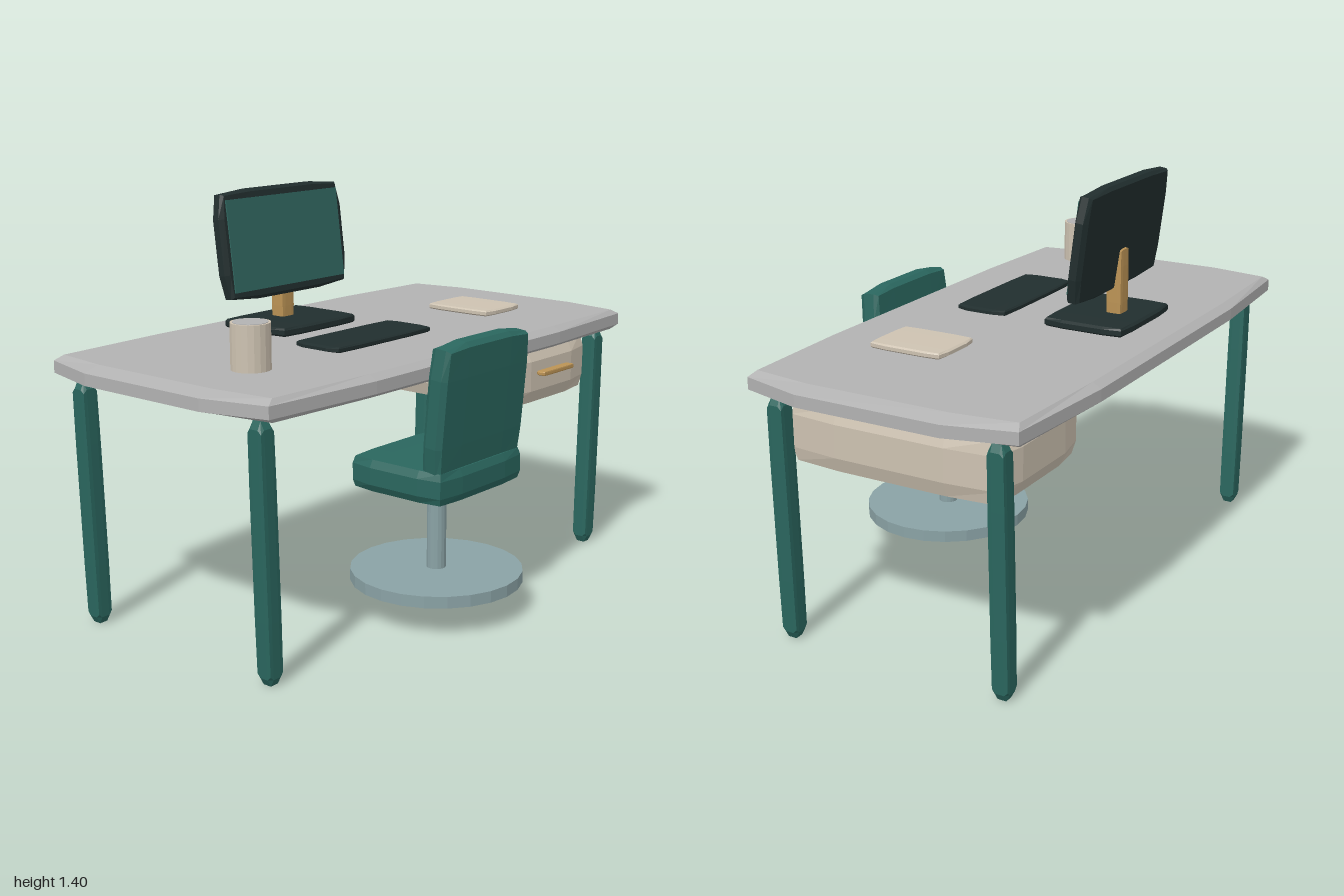
import * as THREE from 'three';

const mat = (name, color) => {
  const m = new THREE.MeshStandardMaterial({ color });
  m.name = name;
  return m;
};

// Faceted normals
function facet(geometry) {
  const g = geometry.toNonIndexed();
  g.computeVertexNormals();
  return g;
}

// Box with slightly swollen sides: edges and corners are pulled towards the centre
function softBoxGeometry(w, h, d) {
  const g = new THREE.BoxGeometry(2, 2, 2, 3, 3, 3);
  const p = g.attributes.position;
  for (let i = 0; i < p.count; i++) {
    const v = [p.getX(i), p.getY(i), p.getZ(i)];
    const outer = v.filter((c) => Math.abs(c) > 0.9).length;
    const pull = [1, 1, 0.94, 0.91][outer];
    const [x, y, z] = v.map((c) => Math.sign(c) * (Math.abs(c) > 0.9 ? pull : 0.5));
    p.setXYZ(i, (x * w) / 2, (y * h) / 2, (z * d) / 2);
  }
  return facet(g);
}

export function createModel() {
  const model = new THREE.Group();
  const grey = mat('desk grey', 0xb2b2b2);
  const teal = mat('teal', 0x2a665e);
  const screenTeal = mat('screen teal', 0x30665f);
  const dark = mat('charcoal', 0x212e2e);
  const cream = mat('cream', 0xcdc2b1);
  const gold = mat('gold', 0xbb9355);
  const steel = mat('steel blue', 0x8aa2a5);

  const add = (name, geometry, material, pos, parent = model) => {
    const mesh = new THREE.Mesh(geometry, material);
    mesh.name = name;
    mesh.position.set(...pos);
    parent.add(mesh);
    return mesh;
  };
  const soft = (name, size, material, pos, parent) =>
    add(name, softBoxGeometry(...size), material, pos, parent);
  const disc = (name, r, h, sides, material, pos) =>
    add(name, facet(new THREE.CylinderGeometry(r, r, h, sides)), material, pos);

  // Desk: top and four legs leaning slightly outwards at the top
  soft('deskTop', [2, 0.08, 1.015], grey, [0, 0.87, -0.0875]);
  for (const side of [-1, 1]) {
    for (const [name, z] of [['frontLeg', 0.31], ['backLeg', -0.475]]) {
      const leg = soft(name, [0.06, 0.83, 0.06], teal, [side * 0.881, 0.415, z]);
      leg.rotation.z = -side * 0.03;
    }
  }

  // Drawer box with handle
  soft('drawer', [0.52, 0.217, 0.78], cream, [0.62, 0.712, -0.08]);
  soft('drawerHandle', [0.2, 0.016, 0.035], gold, [0.62, 0.722, 0.328]);

  // Monitor, tilted back on its stand
  const monitor = new THREE.Group();
  monitor.name = 'monitor';
  monitor.position.set(-0.1, 1.213, -0.347);
  monitor.rotation.x = -0.125;
  model.add(monitor);
  soft('monitorCase', [0.61, 0.375, 0.05], dark, [0, 0, 0], monitor);
  add('screen', new THREE.BoxGeometry(0.55, 0.312, 0.006), screenTeal, [0, 0, 0.025], monitor);
  soft('monitorNeck', [0.06, 0.25, 0.055], gold, [-0.1, 1.045, -0.346]);
  soft('monitorBase', [0.385, 0.032, 0.3], dark, [-0.1, 0.929, -0.31]);

  // Things on the desk
  soft('keyboard', [0.5, 0.02, 0.195], dark, [-0.155, 0.932, 0.078]);
  soft('notebook', [0.21, 0.022, 0.272], cream, [0.505, 0.937, 0.04]);
  disc('cup', 0.063, 0.145, 20, cream, [-0.745, 1.0005, 0.13]);
  disc('cupFill', 0.055, 0.004, 20, grey, [-0.745, 1.0725, 0.13]);

  // Chair: cushion, reclined backrest, post and round foot
  soft('chairSeat', [0.47, 0.115, 0.39], teal, [-0.042, 0.4975, 0.3]);
  const back = soft('chairBack', [0.46, 0.45, 0.08], teal, [-0.042, 0.745, 0.458]);
  back.rotation.x = 0.09;
  disc('chairPost', 0.033, 0.34, 16, steel, [-0.042, 0.29, 0.3]);
  disc('chairFoot', 0.294, 0.04, 24, steel, [-0.042, 0.125, 0.3]);

  return model;
}
